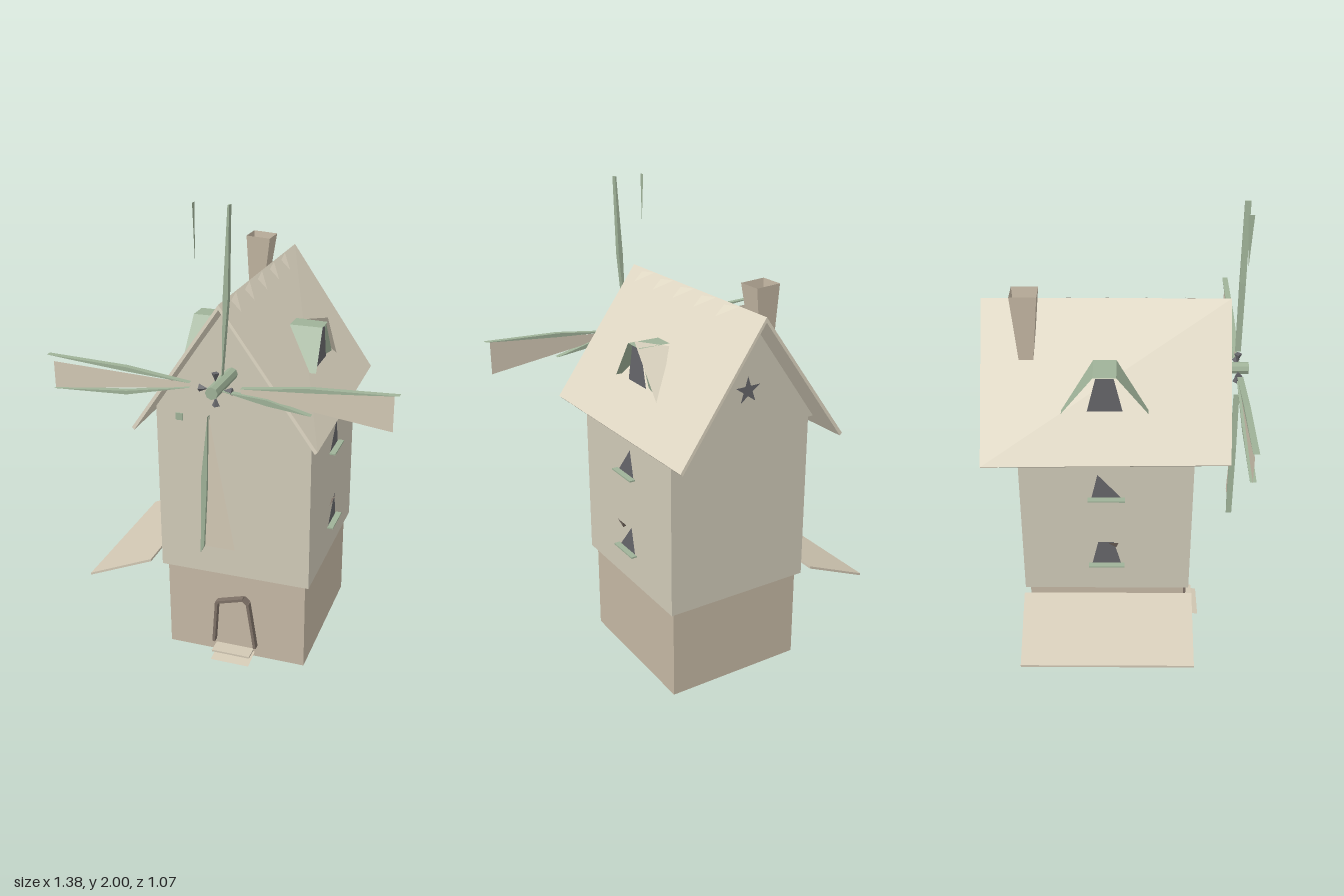
import * as THREE from 'three';

const mat = (color) => new THREE.MeshStandardMaterial({ color, flatShading: true, side: THREE.DoubleSide });

export function createModel() {
  const root = new THREE.Group();
  const stone = mat(0xc5b8a4), plaster = mat(0xd0cab8), roofing = mat(0xe0d8c4);
  const green = mat(0x9fb298), dark = mat(0x66666a), wood = mat(0x7d7066), canvas = mat(0xd2c8b4);

  const add = (name, geo, m, parent = root) => {
    const mesh = new THREE.Mesh(geo, m);
    mesh.name = name;
    parent.add(mesh);
    return mesh;
  };
  // Flat convex polygon through 3D points
  const sheet = (pts) => {
    const g = new THREE.BufferGeometry().setFromPoints(pts.map((p) => new THREE.Vector3(...p)));
    const idx = [];
    for (let i = 1; i < pts.length - 1; i++) idx.push(0, i, i + 1);
    g.setIndex(idx);
    g.computeVertexNormals();
    return g;
  };
  // Outline in x, y pulled from z0 to z1
  const slab = (pts, z0, z1) => {
    const shape = new THREE.Shape(pts.map((p) => new THREE.Vector2(...p)));
    return new THREE.ExtrudeGeometry(shape, { depth: z1 - z0, bevelEnabled: false }).translate(0, 0, z0);
  };
  const box = (x0, x1, y0, y1, z0, z1) =>
    new THREE.BoxGeometry(x1 - x0, y1 - y0, z1 - z0).translate((x0 + x1) / 2, (y0 + y1) / 2, (z0 + z1) / 2);

  // Open-bottomed stone base
  const base = box(-0.305, 0.305, 0, 0.4, -0.37, 0.29);
  base.setIndex([...base.index.array].filter((_, i) => i < 12 || i >= 24));
  add('base', base, stone);

  // Body and gables
  add('body', box(-0.325, 0.325, 0.4, 1.14, -0.39, 0.31), plaster);
  add('gable', slab([[-0.325, 1.14], [0.325, 1.14], [0, 1.6]], -0.42, 0.312), plaster);

  // Roof: thin folded slab whose eaves run slightly askew
  const roof = slab([[0, 1.625], [-0.378, 1.09], [-0.368, 1.08], [0, 1.605], [0.368, 1.08], [0.378, 1.09]], -0.53, 0.45);
  const rp = roof.attributes.position;
  for (let i = 0; i < rp.count; i++) rp.setX(i, rp.getX(i) + 0.018 * rp.getZ(i) * Math.abs(rp.getX(i)) / 0.38);
  add('roof', roof, roofing);

  // Loose shingles beside the ridge
  for (let i = 0; i < 5; i++) {
    const z = -0.36 + i * 0.157;
    add('shingle', sheet([[0.005, 1.625, z], [0.055, 1.575, z + 0.085], [0.015, 1.615, z + 0.085]]), roofing);
  }

  // Dormers: flat top, splayed cheeks, dark window
  for (const [s, zs] of [[1, -0.035], [-1, -0.045]]) {
    const g = new THREE.Group();
    g.name = s > 0 ? 'leftDormer' : 'rightDormer';
    g.position.z = zs;
    root.add(g);
    const at = (x, y, z) => [s * x, y, z];
    const near = 0.045, far = s > 0 ? 0.145 : 0.17;
    add('dormerTop', sheet([at(0.135, 1.43, -near), at(0.278, 1.43, -near), at(0.278, 1.43, near), at(0.135, 1.43, near)]), green, g);
    for (const k of [-1, 1]) {
      if (s > 0 && k < 0) continue;
      add('dormerCheek', sheet([at(0.135, 1.43, k * near), at(0.278, 1.43, k * near), at(0.282, 1.27, k * far), at(0.25, 1.27, k * far)]), green, g);
    }
    add('dormerWindow', sheet([at(0.265, 1.27, -0.07), at(0.265, 1.27, 0.07), at(0.265, 1.42, 0.035), at(0.265, 1.42, -0.035)]), dark, g);
  }
  add('loosePanel', sheet([[0.14, 1.42, -0.09], [0.283, 1.455, -0.05], [0.283, 1.25, -0.215]]), roofing);
  add('dormerTrim', sheet([[0.27, 1.43, -0.07], [0.27, 1.27, -0.18], [0.25, 1.27, -0.1], [0.25, 1.42, -0.07]]), green);

  // Side windows with sills
  for (const s of [-1, 1]) {
    for (const y of [0.545, 0.895]) {
      const x = s * 0.328;
      const pts = [[x, y, 0.02], [x, y, -0.1], [x, y + 0.115, -0.075]];
      if (s < 0 && y < 0.6) pts.push([x, y + 0.115, -0.01]);
      add('window', sheet(pts), dark);
      add('windowSill', box(Math.min(x, x + s * 0.025), Math.max(x, x + s * 0.025), y - 0.006, y, -0.115, 0.035), green);
    }
    add('windowCap', sheet([[s * 0.327, 0.63, 0], [s * 0.345, 0.67, 0.01], [s * 0.345, 0.67, -0.03], [s * 0.327, 0.65, -0.03]]), wood);
  }
  add('frontVent', box(-0.24, -0.21, 1.085, 1.115, 0.3, 0.315), green);

  // Door frame and steps
  const frame = [[-0.095, 0.055], [-0.08, 0.255], [0.04, 0.29], [0.06, 0.272], [0.092, 0.055]];
  for (let i = 0; i < frame.length - 1; i++) {
    const [a, b] = [frame[i], frame[i + 1]];
    const bar = new THREE.BoxGeometry(0.012, Math.hypot(b[0] - a[0], b[1] - a[1]), 0.03);
    const m = add('doorFrame', bar, wood);
    m.position.set((a[0] + b[0]) / 2, (a[1] + b[1]) / 2, 0.303);
    m.rotation.z = Math.atan2(b[1] - a[1], b[0] - a[0]) - Math.PI / 2;
  }
  add('upperStep', box(-0.09, 0.08, 0.028, 0.036, 0.285, 0.355), canvas);
  add('lowerStep', sheet([[-0.085, 0.022, 0.29], [-0.085, 0.006, 0.38], [0.085, 0.006, 0.38], [0.085, 0.022, 0.29]]), canvas);

  // Lean-to awning
  add('awning', slab([[-0.67, 0.28], [-0.375, 0.405], [-0.375, 0.416], [-0.67, 0.29]], -0.39, 0.32), canvas);

  // Chimney flaring towards its open top
  const chimney = add('chimney', new THREE.CylinderGeometry(0.074, 0.04, 0.28, 4, 1, true), stone);
  chimney.geometry.rotateY(Math.PI / 4);
  chimney.position.set(-0.105, 1.56, -0.352);
  chimney.rotation.z = -0.06;

  // Sail wheel: hub, pegs, sails and spars
  const wheel = new THREE.Group();
  wheel.name = 'sailWheel';
  wheel.position.set(0, 1.31, 0.49);
  root.add(wheel);
  add('hub', new THREE.CylinderGeometry(0.025, 0.025, 0.24, 8).rotateX(Math.PI / 2).translate(0, 0, -0.075), green, wheel);
  for (let i = 0; i < 4; i++) {
    const peg = new THREE.ConeGeometry(0.016, 0.035, 4).rotateX(Math.PI).translate(0, 0.048, 0);
    add('peg', peg.rotateZ(i * Math.PI / 2), dark, wheel);
  }
  const spar = (pts) => add('spar', slab(pts, -0.01, 0.014), green, wheel);
  for (const s of [-1, 1]) {
    const top = s > 0 ? 0.06 : 0.035, low = s > 0 ? -0.08 : -0.075;
    add('sail', sheet([[s * 0.1, 0.012, 0], [s * 0.67, top, 0], [s * 0.67, low, 0], [s * 0.1, -0.005, 0]]), canvas, wheel);
    spar([[s * 0.1, 0.018], [s * 0.36, 0.052], [s * 0.69, 0.065], [s * 0.6, 0.056], [s * 0.36, 0.035]]);
  }
  spar([[-0.1, 0], [-0.36, -0.06], [-0.67, -0.072], [-0.36, -0.045]]);
  spar([[0.03, 0], [0.2, -0.012], [0.37, -0.055], [0.2, -0.035]]);
  add('sail', sheet([[-0.03, -0.11, 0], [-0.07, -0.675, 0], [0.07, -0.675, 0]]), canvas, wheel);
  spar([[-0.03, -0.11], [-0.06, -0.36], [-0.07, -0.7], [-0.055, -0.67], [-0.038, -0.4]]);
  spar([[0.03, 0.06], [0.058, 0.36], [0.066, 0.69], [0.06, 0.69], [0.038, 0.36]]);
  add('sparTip', sheet([[-0.07, 0.69, -0.01], [-0.07, 0.69, 0.014], [-0.068, 0.48, 0.005]]), green, wheel);

  // Star-shaped vent on the back gable
  const star = new THREE.Shape(Array.from({ length: 10 }, (_, i) => {
    const r = i % 2 ? 0.022 : 0.058, a = i * Math.PI / 5 + 0.3;
    return new THREE.Vector2(r * Math.cos(a), 1.31 + r * Math.sin(a));
  }));
  add('backVent', new THREE.ShapeGeometry(star).translate(0, 0, -0.424), dark);

  return root;
}
